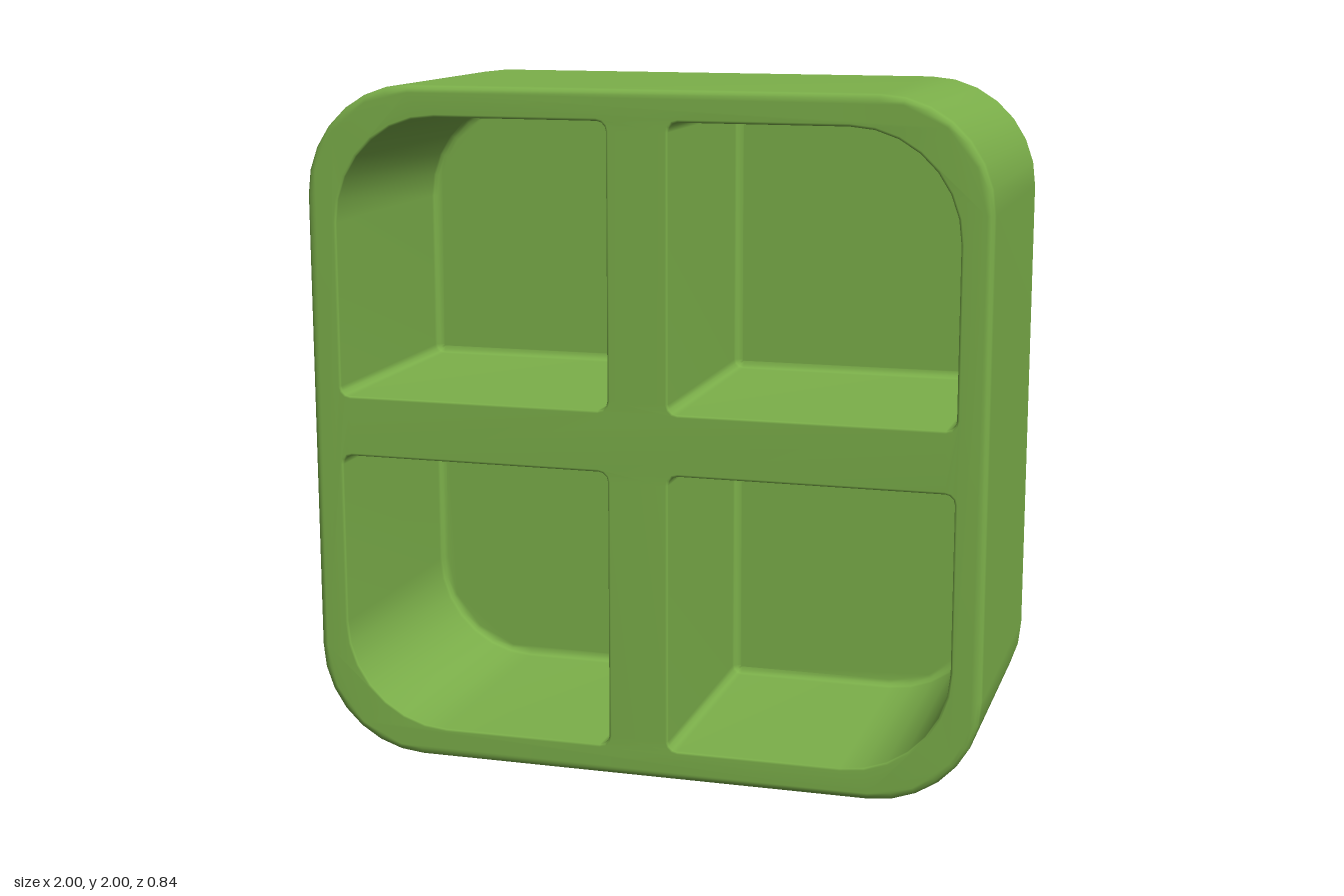
import * as THREE from 'three';
import { mergeVertices } from 'three/addons/utils/BufferGeometryUtils.js';

const HALF_DEPTH = 0.42;
const FLOOR_Z = -0.34;

// Counter-clockwise rounded rectangle; radii run from the +x +y corner.
function outline(x0, x1, y0, y1, radii, inset) {
  const corners = [[x1, y1, -1, -1], [x0, y1, 1, -1], [x0, y0, 1, 1], [x1, y0, -1, 1]];
  const points = [];
  corners.forEach(([x, y, sx, sy], k) => {
    const r = radii[k];
    const steps = r > 0.1 ? 7 : 3;
    for (let i = 0; i <= steps; i++) {
      const a = (k + i / steps) * Math.PI / 2;
      points.push(new THREE.Vector2(
        x + sx * r + Math.cos(a) * (r - inset),
        y + sy * r + Math.sin(a) * (r - inset)));
    }
  });
  return points;
}

function createBodyGeometry() {
  const positions = [];
  const add = (p, z) => positions.push(p.x, p.y, z);

  // Joins successive [outline, z] rings with quads
  const loft = (rings) => {
    for (let i = 0; i + 1 < rings.length; i++) {
      const [a, za] = rings[i], [b, zb] = rings[i + 1];
      a.forEach((p, j) => {
        const k = (j + 1) % a.length;
        add(p, za); add(a[k], za); add(b[k], zb);
        add(p, za); add(b[k], zb); add(b[j], zb);
      });
    }
  };
  // Flat face inside an outline, with optional openings
  const cap = (contour, holes, z, flip) => {
    const all = [contour, ...holes].flat();
    THREE.ShapeUtils.triangulateShape(contour, holes).forEach(([a, b, c]) => {
      (flip ? [a, c, b] : [a, b, c]).forEach((i) => add(all[i], z));
    });
  };
  // Quarter-round [inset, offset from the flat face] pairs
  const round = (r) => [0, 1, 2, 3].map((i) => {
    const a = i / 3 * Math.PI / 2;
    return [r * (1 - Math.sin(a)), r * (1 - Math.cos(a))];
  });

  // Outer shell with softened front and back edges
  const outer = (inset) => outline(-1, 1, 0, 2, [0.32, 0.32, 0.32, 0.32], inset);
  const edge = round(0.022);
  const shell = [
    ...edge.map(([d, h]) => [outer(d), -HALF_DEPTH + h]),
    ...edge.slice().reverse().map(([d, h]) => [outer(d), HALF_DEPTH - h]),
  ];
  loft(shell);
  cap(shell[0][0], [], -HALF_DEPTH, true);

  // Four compartments, each with its large radius at the outer corner
  const openings = [];
  [[1, 1], [-1, 1], [-1, -1], [1, -1]].forEach(([sx, sy], quadrant) => {
    const radii = [0, 1, 2, 3].map((k) => (k === quadrant ? 0.31 : 0.028));
    const pocket = (inset) => outline(
      sx * 0.5 - 0.41, sx * 0.5 + 0.41,
      1 + sy * 0.5 - 0.41, 1 + sy * 0.5 + 0.41, radii, inset);
    const rings = [
      [pocket(-0.008), HALF_DEPTH],
      [pocket(-0.002), HALF_DEPTH - 0.002],
      [pocket(0), HALF_DEPTH - 0.008],
      ...round(0.022).reverse().map(([d, h]) => [pocket(d), FLOOR_Z + h]),
    ];
    loft(rings);
    openings.push(rings[0][0]);
    cap(rings[rings.length - 1][0], [], FLOOR_Z, false);
  });

  // Front rim and cross dividers
  cap(shell[shell.length - 1][0], openings, HALF_DEPTH, false);

  let geometry = new THREE.BufferGeometry();
  geometry.setAttribute('position', new THREE.Float32BufferAttribute(positions, 3));
  geometry = mergeVertices(geometry, 1e-5);
  geometry.computeVertexNormals();
  return geometry;
}

export function createModel() {
  const model = new THREE.Group();
  model.name = 'compartmentBox';
  const green = new THREE.MeshStandardMaterial({ color: 0x7cb04a });
  green.name = 'leaf green';
  const body = new THREE.Mesh(createBodyGeometry(), green);
  body.name = 'dividedBody';
  model.add(body);
  return model;
}
